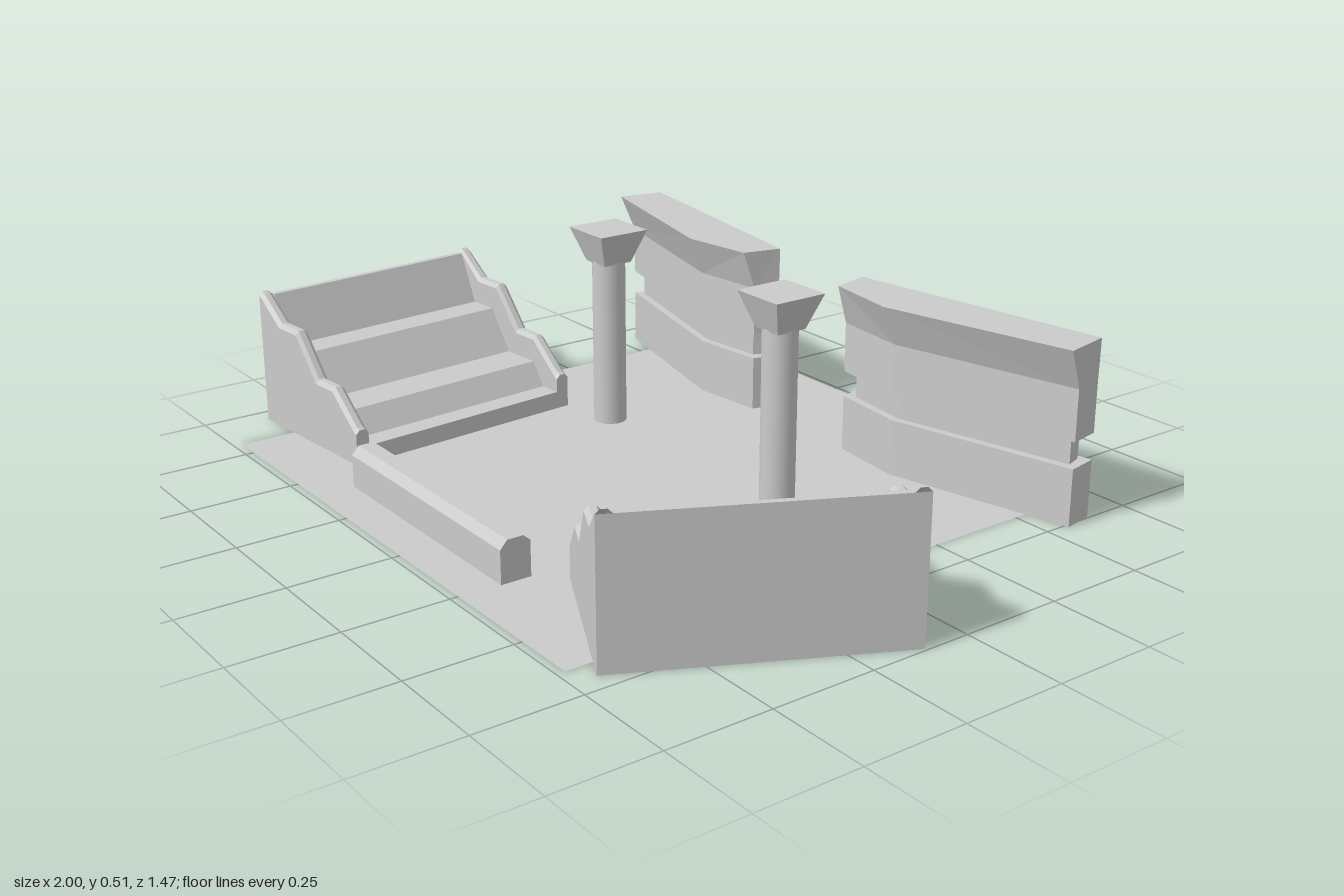
import * as THREE from 'three';

const flat = new THREE.MeshStandardMaterial({ color: 0xcccccc, flatShading: true, side: THREE.DoubleSide });
const smooth = new THREE.MeshStandardMaterial({ color: 0xcccccc });

function part(name, geometry, material = flat) {
  const mesh = new THREE.Mesh(geometry, material);
  mesh.name = name;
  return mesh;
}

// Skin between cross-sections with equal point counts
function loft(sections, closed = false) {
  const pos = [];
  const tri = (...pts) => pts.forEach((p) => pos.push(...p));
  const n = sections[0].length;
  for (let s = 0; s < sections.length - 1; s++) {
    const a = sections[s], b = sections[s + 1];
    for (let i = 0; i < (closed ? n : n - 1); i++) {
      const j = (i + 1) % n;
      tri(a[j], a[i], b[i]);
      tri(a[j], b[i], b[j]);
    }
  }
  if (closed) {
    const low = sections[0], top = sections[sections.length - 1];
    for (let i = 1; i < n - 1; i++) {
      tri(low[0], low[i], low[i + 1]);
      tri(top[0], top[i + 1], top[i]);
    }
  }
  const g = new THREE.BufferGeometry();
  g.setAttribute('position', new THREE.Float32BufferAttribute(pos, 3));
  g.computeVertexNormals();
  return g;
}

// Bent wall with a recessed groove and an overhanging top, as stacked outlines
function bentWall() {
  const base = [[-0.91, -0.635], [-0.242, -0.53], [-0.26, -0.463], [-0.455, -0.443], [-0.925, -0.557]];
  const groove = [[-0.886, -0.615], [-0.272, -0.515], [-0.285, -0.482], [-0.455, -0.463], [-0.9, -0.573]];
  const top = [[-0.91, -0.637], [-0.24, -0.53], [-0.265, -0.43], [-0.455, -0.403], [-0.935, -0.517]];
  const ring = (outline, y) => outline.map(([x, z]) => [x, y, z]);
  return loft([
    ring(base, 0), ring(base, 0.14), ring(groove, 0.14), ring(groove, 0.205),
    ring(base, 0.205), ring(base, 0.33), ring(top, 0.43),
  ], true);
}

// Stepped stand: x runs from back to front, z along its length; one end is open
function steppedStand() {
  const length = 0.65;
  const rim = [[0, 0.335], [0.01, 0.33], [0.09, 0.27], [0.17, 0.27], [0.255, 0.165], [0.33, 0.165], [0.42, 0.085], [0.43, 0.08], [0.43, 0]];
  const steps = [[0, 0.335], [0.015, 0.335], [0.07, 0.21], [0.15, 0.21], [0.22, 0.105], [0.33, 0.105], [0.37, 0.045], [0.43, 0.045], [0.43, 0]];
  const section = (profile, z, lift) => profile.map(([x, y]) => [x, y > 0 ? y + lift : 0, z]);
  const end = [
    [rim, 0, 0], [rim, 0.01, 0.01], [rim, 0.025, 0.01], [rim, 0.035, 0], [steps, 0.035, 0],
  ];
  const sections = [
    ...end.map(([p, z, l]) => section(p, z, l)),
    ...end.slice().reverse().map(([p, z, l]) => section(p, length - z, l)),
  ];

  const stand = new THREE.Group();
  stand.add(part('stepsAndRims', loft(sections)));

  const endShape = new THREE.Shape([[0, 0], ...rim.slice().reverse()].map(([x, y]) => new THREE.Vector2(x, y)));
  const endWall = part('endWall', new THREE.ShapeGeometry(endShape));
  endWall.position.z = length;
  stand.add(endWall);

  const backWall = part('backWall', new THREE.PlaneGeometry(length, 0.335));
  backWall.rotation.y = -Math.PI / 2;
  backWall.position.set(0, 0.335 / 2, length / 2);
  stand.add(backWall);
  return stand;
}

function pillar() {
  const g = new THREE.Group();
  const shaft = part('shaft', new THREE.CylinderGeometry(0.042, 0.042, 0.43, 24), smooth);
  shaft.position.y = 0.215;
  const capital = part('capital', new THREE.CylinderGeometry(0.07 * Math.SQRT2, 0.04 * Math.SQRT2, 0.085, 4));
  capital.rotation.y = Math.PI / 4;
  capital.position.y = 0.4675;
  g.add(shaft, capital);
  return g;
}

export function createModel() {
  const model = new THREE.Group();
  model.name = 'arena';

  // Ground sheet
  const ground = part('ground', new THREE.PlaneGeometry(1.47, 1.47));
  ground.rotation.x = -Math.PI / 2;
  ground.position.set(-0.083, 0, -0.005);
  model.add(ground);

  // Bent walls and pillars, mirrored about x = -0.08
  for (const side of [1, -1]) {
    const wall = part(side > 0 ? 'rightBackWall' : 'leftBackWall', bentWall());
    wall.scale.x = side;
    wall.position.x = side > 0 ? 0 : -0.165;
    model.add(wall);

    const post = pillar();
    post.name = side > 0 ? 'rightPillar' : 'leftPillar';
    post.position.set(-0.083 - side * 0.34, 0, -0.12);
    model.add(post);
  }

  // Stepped stands, one the mirror of the other
  const rightStand = steppedStand();
  rightStand.name = 'rightStand';
  rightStand.position.set(-1, 0, -0.05);
  rightStand.rotation.y = 0.083;
  const leftStand = steppedStand();
  leftStand.name = 'leftStand';
  leftStand.scale.x = -1;
  leftStand.position.set(0.995, 0, 0.11);
  leftStand.rotation.y = -0.467;
  model.add(rightStand, leftStand);

  // Low front barrier with chamfered top
  const profile = [[0.555, 0], [0.63, 0], [0.63, 0.08], [0.612, 0.1], [0.572, 0.1], [0.555, 0.085]];
  const shape = new THREE.Shape(profile.map(([z, y]) => new THREE.Vector2(z, y)));
  const barrier = part('frontBarrier', new THREE.ExtrudeGeometry(shape, { depth: 0.665, bevelEnabled: false }));
  barrier.rotation.y = -Math.PI / 2;
  barrier.position.x = 0.257;
  model.add(barrier);

  return model;
}
